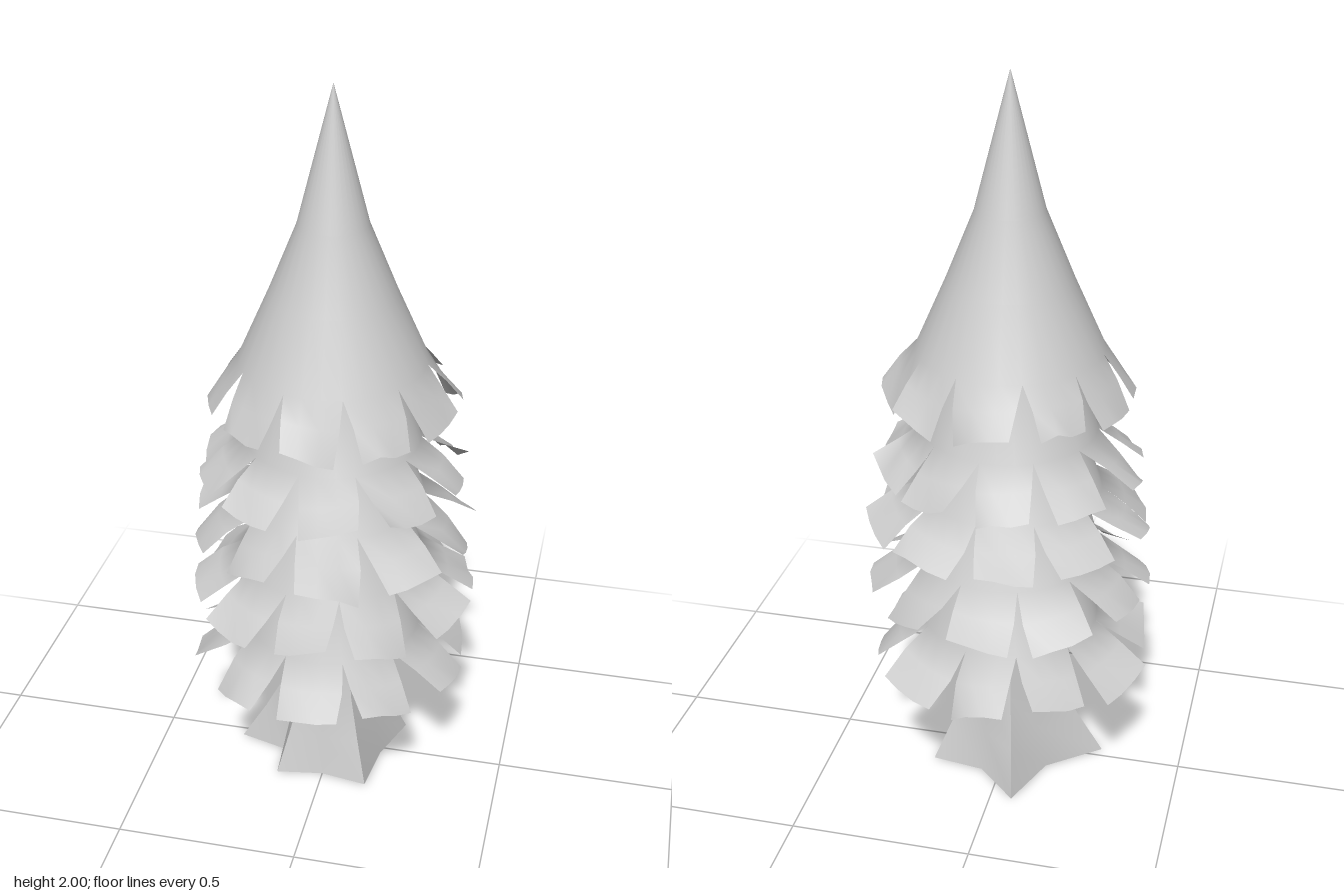
import * as THREE from 'three';
import { toCreasedNormals } from 'three/addons/utils/BufferGeometryUtils.js';

const material = new THREE.MeshStandardMaterial({ color: 0xcccccc, side: THREE.DoubleSide });

let seed = 7;
const jitter = (amount) => {
  seed = (seed * 16807) % 2147483647;
  return (seed / 2147483647 - 0.5) * 2 * amount;
};

const FLAPS = 10; // branch flaps round each tier
const ACROSS = 3; // strips across each flap

// Degrees run from the back (-z) round by +x
const polar = (deg, r, y) => {
  const a = THREE.MathUtils.degToRad(deg);
  return [Math.sin(a) * r, y, -Math.cos(a) * r];
};

function buildMesh(name, positions, index, crease) {
  let geometry = new THREE.BufferGeometry();
  geometry.setAttribute('position', new THREE.Float32BufferAttribute(positions, 3));
  geometry.setIndex(index);
  geometry.computeVertexNormals();
  if (crease) geometry = toCreasedNormals(geometry, crease);
  const mesh = new THREE.Mesh(geometry, material);
  mesh.name = name;
  return mesh;
}

// A conical skirt (profile of [radius, y] from top to rim) ending in splayed flaps
function foliageTier(name, profile, tipR, tipY, turn) {
  const pos = [], index = [];
  const step = 360 / FLAPS;
  const notch = [];
  for (let i = 0; i < FLAPS; i++) notch.push((i - 0.5) * step + turn + jitter(2));
  notch.push(notch[0] + 360);

  const columns = [];
  for (let i = 0; i < FLAPS; i++) {
    for (let k = 0; k < ACROSS; k++) {
      columns.push(THREE.MathUtils.lerp(notch[i], notch[i + 1], k / ACROSS));
    }
  }
  const count = columns.length;
  for (const [r, y] of profile) {
    for (const deg of columns) pos.push(...polar(deg, r, y));
  }
  for (let row = 0; row < profile.length - 1; row++) {
    for (let j = 0; j < count; j++) {
      const a = row * count + j, b = row * count + (j + 1) % count;
      index.push(a, b, a + count, b, b + count, a + count);
    }
  }

  // flaps: share the rim, narrow and droop toward a tilted, ragged end
  const rim = (profile.length - 1) * count;
  const [rimR, rimY] = profile[profile.length - 1];
  for (let i = 0; i < FLAPS; i++) {
    const middle = (notch[i] + notch[i + 1]) / 2 + jitter(2);
    const droop = jitter(0.012), reach = jitter(0.008), tilt = jitter(0.03);
    let upper = [];
    for (let k = 0; k <= ACROSS; k++) upper.push(rim + (i * ACROSS + k) % count);
    for (const t of [0.5, 1]) {
      const lower = [];
      const half = (notch[i + 1] - notch[i]) / 2 * (1 - 0.34 * t);
      for (let k = 0; k <= ACROSS; k++) {
        const side = 2 * k / ACROSS - 1;
        const ragged = t * tilt * side + (t === 1 ? jitter(0.012) : 0);
        const r = THREE.MathUtils.lerp(rimR, tipR + reach, t) + ragged * 0.5;
        const y = THREE.MathUtils.lerp(rimY, tipY + droop, Math.pow(t, 1.1)) + ragged;
        lower.push(pos.length / 3);
        pos.push(...polar(middle + half * side, r, y));
      }
      for (let k = 0; k < ACROSS; k++) {
        index.push(upper[k], upper[k + 1], lower[k], upper[k + 1], lower[k + 1], lower[k]);
      }
      upper = lower;
    }
  }
  return buildMesh(name, pos, index);
}

// Trunk: a round stem spreading into five pointed roots
function trunk() {
  const roots = [[0.2, -0.12], [0.13, 0.17], [-0.13, 0.17], [-0.27, 0.03], [-0.06, -0.25]]
    .map(([x, z]) => new THREE.Vector2(x, z));
  const base = [];
  roots.forEach((p, i) => {
    const valley = p.clone().add(roots[(i + 1) % roots.length]).setLength(0.15);
    base.push(p, valley);
  });
  const n = base.length;
  const pos = [], index = [];
  // [height, stem radius, share of root spread]
  const levels = [[0, 0.1, 1], [0.12, 0.1, 0.58], [0.25, 0.1, 0.18], [0.42, 0.1, 0], [0.75, 0.09, 0]];
  for (const [y, r, spread] of levels) {
    for (const p of base) {
      const q = p.clone().setLength(r).lerp(p, spread);
      pos.push(q.x, y, q.y);
    }
  }
  for (let row = 0; row < levels.length - 1; row++) {
    for (let j = 0; j < n; j++) {
      const a = row * n + j, b = row * n + (j + 1) % n;
      index.push(a + n, b + n, a, b + n, b, a);
    }
  }
  // flat underside
  const centre = pos.length / 3;
  pos.push(0, 0, 0);
  for (let j = 0; j < n; j++) index.push(centre, j, (j + 1) % n);
  return buildMesh('trunk', pos, index, 0.8);
}

export function createModel() {
  seed = 7;
  const tree = new THREE.Group();
  tree.name = 'tree';
  tree.add(trunk());

  // pointed crown
  tree.add(foliageTier('crown',
    [[0.001, 2], [0.092, 1.65], [0.17, 1.46], [0.25, 1.28]], 0.325, 1.15, 0));

  // four lower tiers: top radius, top y, rim radius, rim y, tip radius, tip y, turn
  [
    [0.17, 1.3, 0.235, 1.05, 0.36, 0.945, -10],
    [0.18, 1.08, 0.25, 0.875, 0.385, 0.785, -9],
    [0.19, 0.9, 0.25, 0.68, 0.385, 0.585, 0],
    [0.19, 0.72, 0.245, 0.47, 0.385, 0.37, 0],
  ].forEach(([r0, y0, r1, y1, tipR, tipY, turn], i) => {
    tree.add(foliageTier(`foliageTier${i + 1}`, [[r0, y0], [r1, y1]], tipR, tipY, turn));
  });
  return tree;
}
